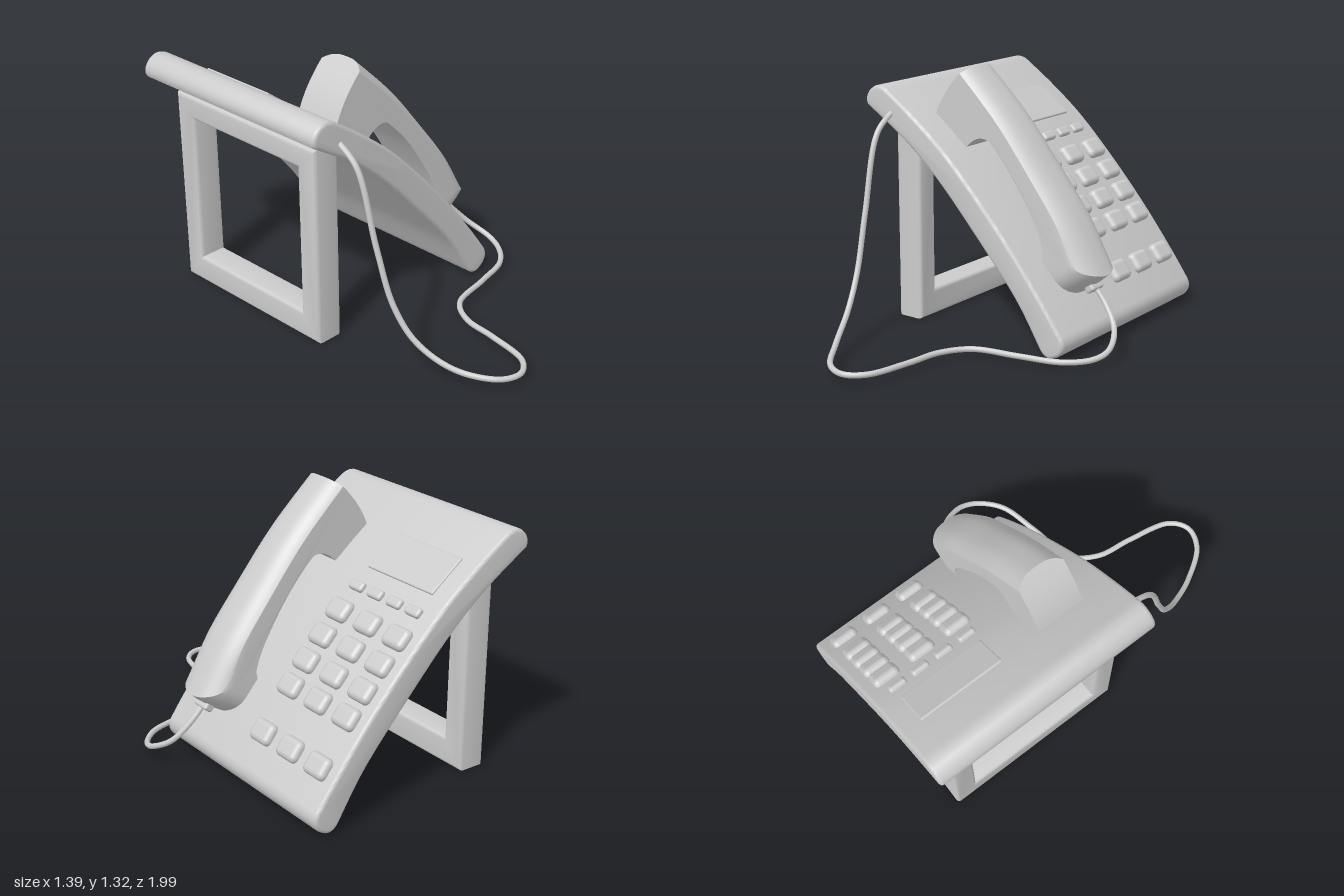
import * as THREE from 'three';
import { toCreasedNormals } from 'three/addons/utils/BufferGeometryUtils.js';
import { RoundedBoxGeometry } from 'three/addons/geometries/RoundedBoxGeometry.js';

const material = new THREE.MeshStandardMaterial({ color: 0xcccccc });
const v2 = (pts) => pts.map(([x, y]) => new THREE.Vector2(x, y));

function add(parent, name, geometry) {
  const mesh = new THREE.Mesh(geometry, material);
  mesh.name = name;
  parent.add(mesh);
  return mesh;
}

// Curved upper face of the base, from the high end to the low end
const deck = new THREE.SplineCurve(v2([
  [-0.56, 1.2], [-0.385, 1.08], [-0.19, 0.925], [0.03, 0.705], [0.23, 0.48], [0.4, 0.265], [0.5, 0.127],
]));

// Position and slope of the deck at a given x
function deckAt(x) {
  let lo = 0, hi = 1;
  for (let i = 0; i < 30; i++) {
    const mid = (lo + hi) / 2;
    if (deck.getPoint(mid).x < x) lo = mid; else hi = mid;
  }
  const p = deck.getPoint(lo), t = deck.getTangent(lo);
  return { p, angle: Math.atan2(t.y, t.x) };
}

// Base: curved slab with rounded ends and softened sides
function makeBase() {
  const s = new THREE.Shape();
  s.moveTo(-0.56, 1.2);
  s.splineThru(deck.points.slice(1));
  s.bezierCurveTo(0.525, 0.085, 0.5, 0.045, 0.47, 0.028);
  s.bezierCurveTo(0.435, 0.005, 0.4, 0.005, 0.37, 0.055);
  s.splineThru(v2([[0.23, 0.27], [0.007, 0.525], [-0.235, 0.78], [-0.44, 0.953], [-0.685, 1.11]]));
  s.bezierCurveTo(-0.71, 1.15, -0.67, 1.2, -0.63, 1.212);
  s.bezierCurveTo(-0.61, 1.217, -0.585, 1.215, -0.56, 1.2);
  const bevel = 0.018;
  const g = new THREE.ExtrudeGeometry(s, {
    depth: 1.2 - 2 * bevel, curveSegments: 8, bevelSize: bevel, bevelThickness: bevel,
    bevelOffset: -bevel, bevelSegments: 3,
  });
  g.translate(0, 0, -1 + bevel);
  return toCreasedNormals(g, 0.6);
}

// Stand: upright rectangular frame behind the base
function makeStand() {
  const s = new THREE.Shape(v2([[-0.49, 0], [0.49, 0], [0.49, 1.03], [-0.49, 1.03]]));
  s.holes.push(new THREE.Path(v2([[-0.37, 0.14], [-0.37, 0.91], [0.37, 0.91], [0.37, 0.14]])));
  const b = 0.02;
  const g = new THREE.ExtrudeGeometry(s, {
    depth: 0.15 - 2 * b, bevelSize: b, bevelThickness: b, bevelOffset: -b, bevelSegments: 3,
  });
  g.translate(0, 0, -0.075 + b);
  g.rotateY(Math.PI / 2);
  g.translate(-0.515, 0, -0.4);
  return toCreasedNormals(g, 0.6);
}

// Handset: side profile extruded across, then domed on its back and rounded at its low end
function makeHandset() {
  const s = new THREE.Shape();
  s.moveTo(-0.194, 1.32);
  s.splineThru(v2([[0.034, 1.1], [0.23, 0.864], [0.41, 0.63], [0.56, 0.38]]));
  s.quadraticCurveTo(0.5, 0.32, 0.417, 0.27);
  s.lineTo(0.33, 0.37);
  s.splineThru(v2([[0.324, 0.417], [0.3, 0.473], [0.21, 0.64], [0.09, 0.82], [-0.037, 0.96],
    [-0.086, 0.983], [-0.14, 0.97], [-0.19, 0.93]]));
  s.lineTo(-0.385, 1.07);
  s.quadraticCurveTo(-0.33, 1.21, -0.194, 1.32);
  const g = new THREE.ExtrudeGeometry(s, { depth: 2, steps: 20, curveSegments: 6, bevelEnabled: false });
  const pos = g.attributes.position;
  const step = THREE.MathUtils.smoothstep;
  for (let i = 0; i < pos.count; i++) {
    const x = pos.getX(i), y = pos.getY(i);
    const z = Math.sin((pos.getZ(i) - 1) * Math.PI / 2);
    // Distance along the handset and out from its back curve
    const along = (x + 0.194) * 0.626 - (y - 1.32) * 0.78;
    const t = along / 1.205;
    const out = (x + 0.194) * 0.78 + (y - 1.32) * 0.626 - 0.2 * t * (1 - t);
    const drop = 0.05 * Math.abs(z) ** 3 * step(out, -0.1, 0);
    const pull = 0.12 * (1 - Math.sqrt(Math.max(0, 1 - z * z))) * step(along, 0.82, 1.2);
    pos.setXYZ(i,
      x - 0.78 * drop - 0.626 * pull,
      y - 0.626 * drop + 0.78 * pull,
      -0.1 + z * (0.125 + 0.018 * t));
  }
  return toCreasedNormals(g, 0.6);
}

// Cord: from the side of the base, across the floor, up to the handset
function makeCord() {
  const path = new THREE.CatmullRomCurve3([
    [-0.53, 1.1, 0.17], [-0.53, 1.0, 0.3], [-0.52, 0.63, 0.41], [-0.5, 0.35, 0.5], [-0.465, 0.19, 0.61],
    [-0.39, 0.085, 0.78], [-0.27, 0.052, 0.945], [-0.16, 0.046, 0.98], [-0.07, 0.046, 0.915],
    [-0.015, 0.046, 0.69], [0.015, 0.046, 0.5], [0.11, 0.046, 0.37], [0.345, 0.046, 0.315],
    [0.55, 0.046, 0.26], [0.655, 0.052, 0.16], [0.682, 0.075, 0.07], [0.64, 0.14, -0.045],
    [0.56, 0.235, -0.093], [0.47, 0.335, -0.1],
  ].map((p) => new THREE.Vector3(...p)));
  return new THREE.TubeGeometry(path, 160, 0.014, 10);
}

export function createModel() {
  const model = new THREE.Group();
  model.name = 'deskTelephone';
  add(model, 'base', makeBase());
  add(model, 'stand', makeStand());
  add(model, 'handset', makeHandset());
  add(model, 'cord', makeCord());

  const plug = add(model, 'cordPlug', new RoundedBoxGeometry(0.08, 0.05, 0.1, 2, 0.012));
  plug.position.set(0.475, 0.325, -0.1);
  plug.rotation.z = -0.9;

  // Parts laid on the deck
  const place = (name, geometry, x, z) => {
    const { p, angle } = deckAt(x);
    const mesh = add(model, name, geometry);
    mesh.position.set(p.x, p.y, z);
    mesh.rotation.z = angle;
  };
  place('display', new RoundedBoxGeometry(0.22, 0.016, 0.45, 2, 0.007), -0.305, -0.665);

  const key = new RoundedBoxGeometry(0.108, 0.07, 0.142, 4, 0.028);
  for (const x of [-0.042, 0.055, 0.148, 0.237, 0.39]) {
    for (const z of [-0.87, -0.666, -0.46]) place('key', key, x, z);
  }
  const smallKey = new RoundedBoxGeometry(0.05, 0.045, 0.093, 3, 0.014);
  for (const z of [-0.86, -0.73, -0.597, -0.465]) place('smallKey', smallKey, -0.142, z);

  return model;
}
